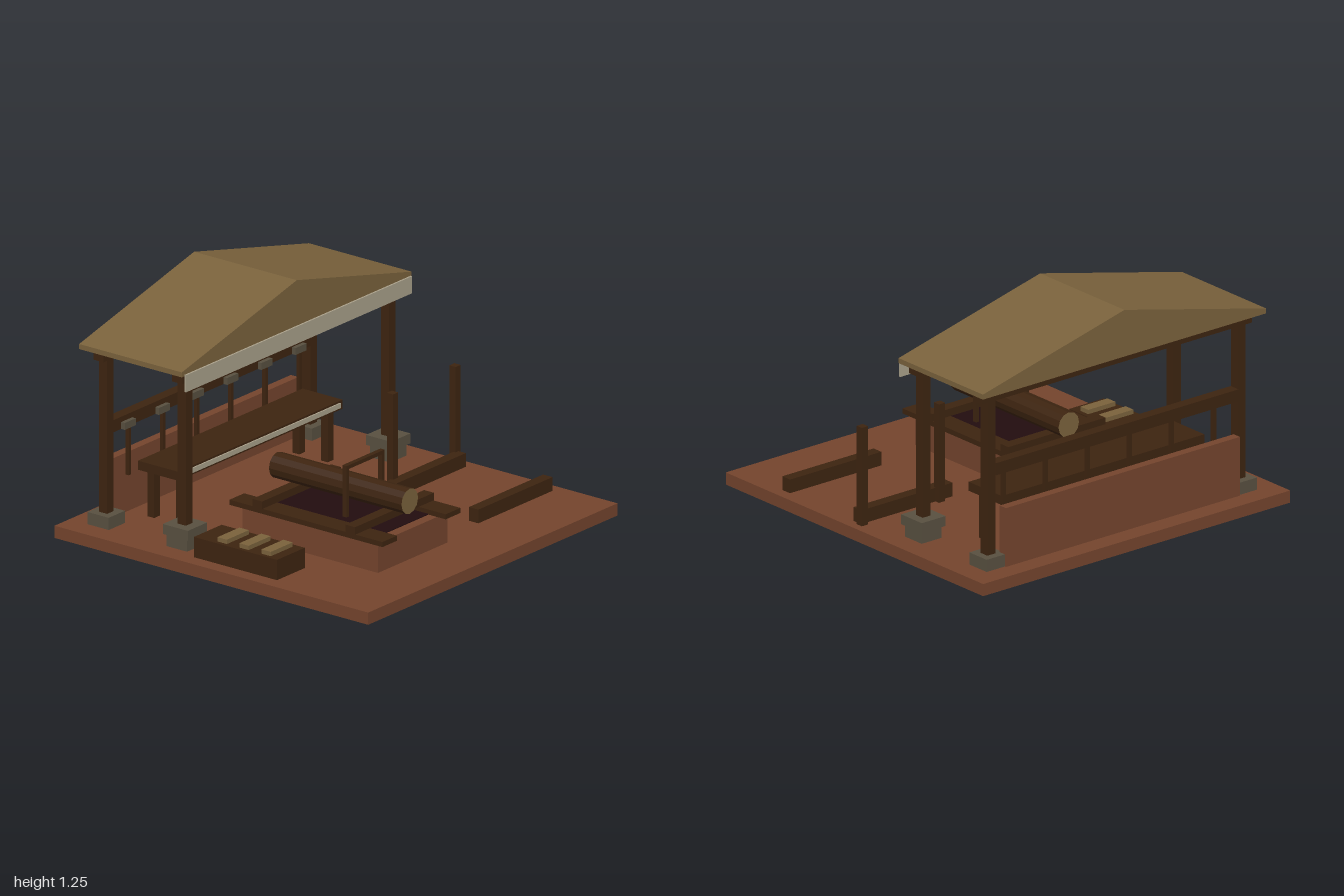
import * as THREE from 'three';

const mat = (name, color) => {
  const m = new THREE.MeshStandardMaterial({ color });
  m.name = name;
  return m;
};

export function createModel() {
  const clay = mat('clay', 0x74442d);
  const wood = mat('dark wood', 0x3d2410);
  const thatch = mat('roof tan', 0x7a623c);
  const cream = mat('cream cloth', 0xa9a08a);
  const stone = mat('grey stone', 0x585040);
  const soot = mat('pit floor', 0x220d0f);
  const bark = wood.clone();
  bark.name = 'bark';
  bark.flatShading = true;

  const model = new THREE.Group();
  model.name = 'sawyerWorkshop';
  const group = (name) => {
    const g = new THREE.Group();
    g.name = name;
    model.add(g);
    return g;
  };
  // box given by its limits on each axis
  const box = (parent, name, material, [x0, x1], [y0, y1], [z0, z1]) => {
    const m = new THREE.Mesh(new THREE.BoxGeometry(x1 - x0, y1 - y0, z1 - z0), material);
    m.position.set((x0 + x1) / 2, (y0 + y1) / 2, (z0 + z1) / 2);
    m.name = name;
    parent.add(m);
    return m;
  };
  const around = (c, w) => [c - w / 2, c + w / 2];
  const G = 0.065; // ground level

  box(model, 'ground', clay, [-1, 1], [0, G], [-1, 1]);

  // shelter: posts on stone footings, eave beams, gabled roof
  const shelter = group('shelter');
  for (const x of [-0.815, 0.815]) {
    box(shelter, 'frontFooting', stone, around(x, 0.13), [G, 0.13], around(-0.315, 0.13));
    box(shelter, 'frontFootingCap', stone, around(x, 0.155), [0.13, 0.183], around(-0.315, 0.16));
    box(shelter, 'frontPost', wood, around(x, 0.052), [0.183, 0.95], around(-0.315, 0.052));
    box(shelter, 'backFooting', stone, around(x, 0.13), [G, 0.13], around(-0.817, 0.135));
    box(shelter, 'backPost', wood, around(x, 0.052), [0.13, 0.95], around(-0.817, 0.052));
  }
  for (const z of [-0.313, -0.815])
    box(shelter, 'eaveBeam', wood, [-0.88, 0.88], [0.95, 1.005], around(z, 0.065));

  const gable = new THREE.Shape();
  gable.moveTo(-0.922, 1.005);
  gable.lineTo(0.922, 1.005);
  gable.lineTo(0.922, 1.032);
  gable.lineTo(0, 1.255);
  gable.lineTo(-0.922, 1.032);
  const roof = new THREE.Mesh(
    new THREE.ExtrudeGeometry(gable, { depth: 0.655, bevelEnabled: false }), thatch);
  roof.position.z = -0.905;
  roof.name = 'roof';
  shelter.add(roof);
  box(shelter, 'valance', cream, [-0.907, 0.907], [0.925, 1.016], [-0.245, -0.235]);

  // low back wall and tool rail with hanging tools
  box(model, 'backWall', clay, [-0.762, 0.762], [G, 0.38], [-0.893, -0.845]);
  const rack = group('toolRack');
  box(rack, 'toolRail', wood, [-0.79, 0.79], [0.55, 0.615], [-0.85, -0.79]);
  for (let i = 0; i < 6; i++) {
    const x = -0.685 + i * 0.274;
    box(rack, 'toolHead', stone, around(x, 0.088), [0.55, 0.587], [-0.79, -0.767]);
    box(rack, 'toolHandle', wood, around(x, 0.02), [0.298, 0.55], around(-0.779, 0.02));
  }

  // workbench with a pale front strip
  const bench = group('workbench');
  box(bench, 'benchTop', wood, [-0.66, 0.66], [0.325, 0.373], [-0.738, -0.482]);
  box(bench, 'benchStrip', cream, [-0.635, 0.635], [0.337, 0.363], [-0.482, -0.474]);
  for (const x of [-0.582, 0.582])
    for (const z of [-0.518, -0.7])
      box(bench, 'benchLeg', wood, around(x, 0.045), [G, 0.325], around(z, 0.042));

  // sawing pit with rails, cross beams and log
  const pit = group('sawPit');
  box(pit, 'pitWall', clay, [-0.525, 0.033], [G, 0.225], [-0.18, 0.685]);
  box(pit, 'pitFloor', soot, [-0.45, -0.04], [0.223, 0.229], [-0.14, 0.63]);
  for (const s of [-1, 1])
    box(pit, 'sideRail', wood, around(-0.246 + s * 0.254, 0.118), [0.225, 0.252], [-0.235, 0.74]);
  for (const z of [-0.055, 0.537])
    box(pit, 'crossBeam', wood, [-0.562, 0.07], [0.252, 0.292], around(z, 0.062));

  const log = new THREE.Mesh(
    new THREE.CylinderGeometry(0.067, 0.067, 0.845, 12), [bark, thatch, thatch]);
  log.rotation.x = Math.PI / 2;
  log.position.set(-0.245, 0.361, 0.2425);
  log.name = 'log';
  pit.add(log);

  // frame saw straddling the log
  const saw = group('frameSaw');
  for (const x of [-0.385, -0.1])
    box(saw, 'sawUpright', wood, around(x, 0.02), [0.252, 0.505], around(0.368, 0.026));
  box(saw, 'sawTopBar', wood, [-0.395, -0.09], [0.505, 0.525], around(0.368, 0.026));

  // crate with cut planks
  const crate = group('plankCrate');
  box(crate, 'crateBody', wood, [-0.92, -0.697], [G, 0.173], [-0.175, 0.355]);
  for (const z of [-0.012, 0.127, 0.268])
    box(crate, 'plank', thatch, [-0.898, -0.722], [0.173, 0.196], around(z, 0.06));

  // timber sills, the rear one with two uprights
  const timbers = group('timberFrame');
  for (const z of [0.052, 0.605])
    box(timbers, 'sill', wood, [0.343, 0.938], [G, 0.138], around(z, 0.06));
  for (const x of [0.433, 0.935])
    box(timbers, 'upright', wood, around(x, 0.04), [G, 0.592], [-0.0 + 0.004, 0.044].map((z) => z - 0.001 + 0.001 - 0.008));

  return model;
}
